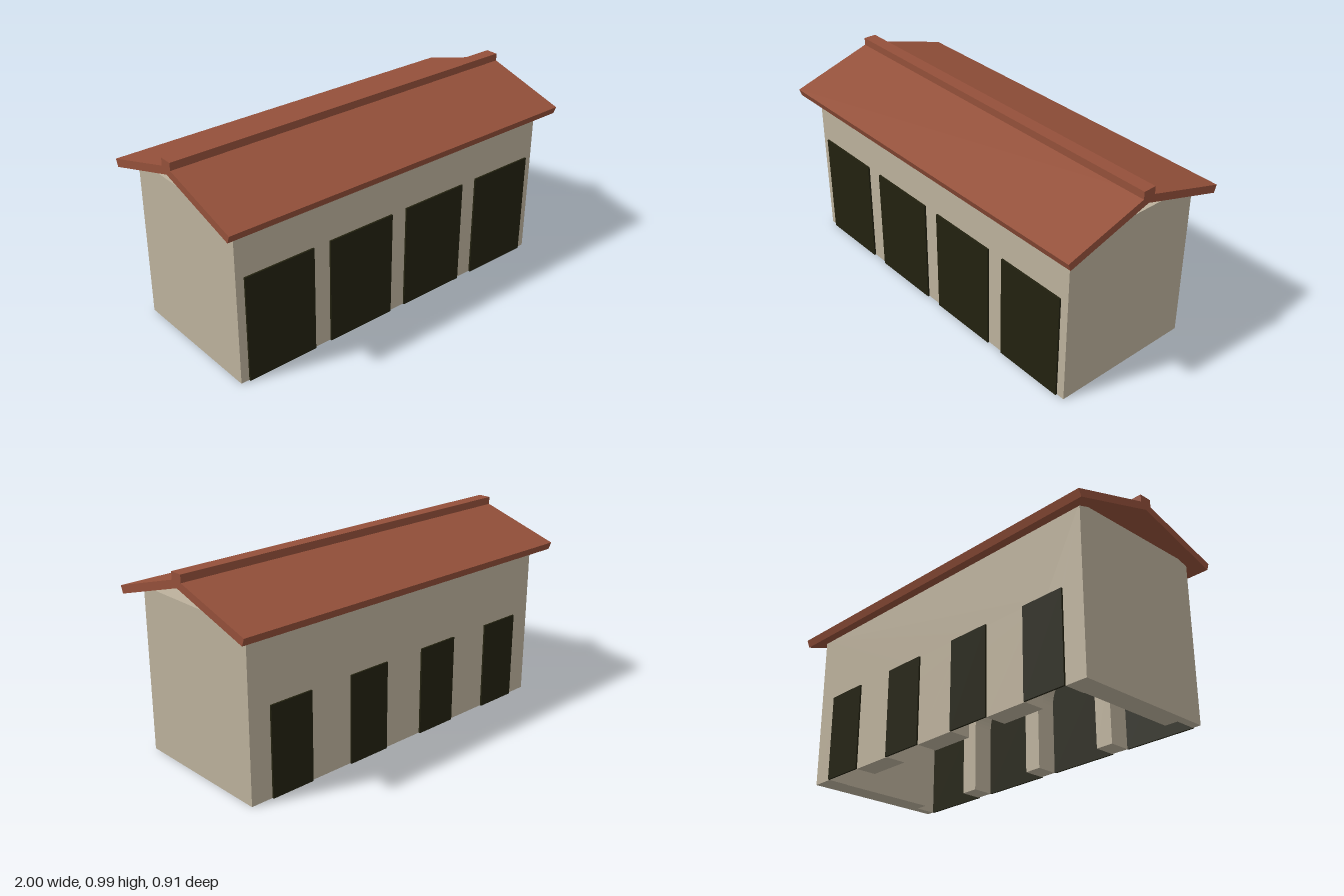
import * as THREE from 'three';

const mat = (name, color) => Object.assign(new THREE.MeshStandardMaterial({ color }), { name });

export function createModel() {
  const plaster = mat('plaster', 0xbcb19c);
  const tile = mat('roofTile', 0x94503a);
  const dark = mat('darkDoor', 0x22210f);

  const group = new THREE.Group();
  const W = 0.93, D = 0.375, H = 0.825, T = 0.11; // half width, half depth, wall height, thickness
  const bays = [-0.7, -0.2325, 0.2325, 0.7];

  const add = (name, geometry, material, x = 0, y = 0, z = 0) => {
    const mesh = new THREE.Mesh(geometry, material);
    mesh.name = name;
    mesh.position.set(x, y, z);
    group.add(mesh);
    return mesh;
  };
  const box = (name, w, h, d, material, x, y, z) =>
    add(name, new THREE.BoxGeometry(w, h, d), material, x, y, z);

  // Long wall whose arched doorways are open down to the ground
  const arcadeWall = (name, width, height, z) => {
    const r = width / 2;
    const s = new THREE.Shape();
    s.moveTo(-W, 0);
    for (const x of bays) {
      s.lineTo(x - r, 0);
      s.lineTo(x - r, height - r);
      s.absarc(x, height - r, r, Math.PI, 0, true);
      s.lineTo(x + r, 0);
    }
    s.lineTo(W, 0);
    s.lineTo(W, H);
    s.lineTo(-W, H);
    s.closePath();
    add(name, new THREE.ExtrudeGeometry(s, { depth: T, bevelEnabled: false, curveSegments: 16 }), plaster, 0, 0, z);
  };
  arcadeWall('frontWall', 0.375, 0.545, D - T);
  arcadeWall('backWall', 0.232, 0.45, -D);

  // End walls between the long walls
  for (const side of [-1, 1]) {
    box(side > 0 ? 'leftWall' : 'rightWall', T, H, 2 * (D - T), plaster, side * (W - T / 2), H / 2, 0);
  }

  // Thin door panels covering each doorway
  const t = 0.009;
  for (const x of bays) {
    box('frontDoor', 0.375, 0.545, t, dark, x, 0.2725, D + t / 2);
    box('backDoor', 0.232, 0.45, t, dark, x, 0.225, -D - t / 2);
  }

  // Pitched roof slab with overhanging eaves
  const roof = new THREE.Shape([
    [-0.457, 0.824], [-0.443, 0.787], [0, 0.922], [0.443, 0.787], [0.457, 0.824], [0, 0.962],
  ].map(([a, b]) => new THREE.Vector2(a, b)));
  const roofGeometry = new THREE.ExtrudeGeometry(roof, { depth: 2, bevelEnabled: false });
  roofGeometry.translate(0, 0, -1).rotateY(Math.PI / 2);
  add('roof', roofGeometry, tile);

  // Ridge cap
  box('ridgeCap', 2, 0.042, 0.067, tile, 0, 0.969, 0);

  return group;
}
